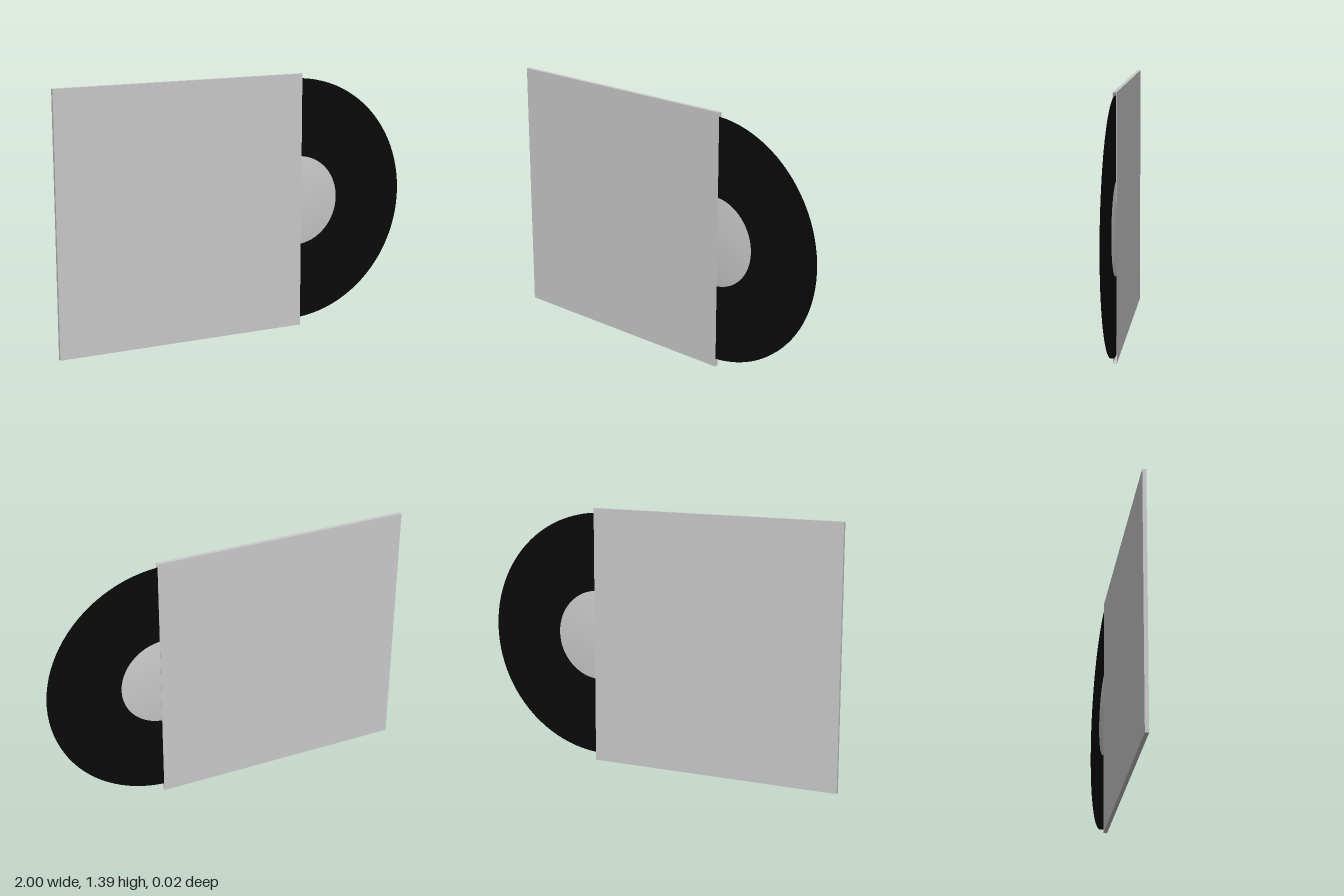
import * as THREE from 'three';
import { mergeVertices } from 'three/addons/utils/BufferGeometryUtils.js';

const SIZE = 1.386;   // sleeve width and height
const DEPTH = 0.02;   // sleeve thickness
const WALL = 0.002;   // card thickness

// Thin upright disc whose rim normals are blended smoothly into its faces
function softDisc(radius, thickness) {
  let geo = new THREE.CylinderGeometry(radius, radius, thickness, 96);
  geo.rotateX(Math.PI / 2);
  geo.deleteAttribute('normal');
  geo.deleteAttribute('uv');
  geo = mergeVertices(geo, 1e-5);
  geo.computeVertexNormals();
  return geo;
}

export function createModel() {
  const model = new THREE.Group();
  model.name = 'recordInSleeve';

  const card = new THREE.MeshStandardMaterial({ color: 0xcccccc });
  card.name = 'light grey card';
  const vinyl = new THREE.MeshStandardMaterial({ color: 0x0a0a0a });
  vinyl.name = 'black vinyl';

  const add = (parent, name, geo, mat, x, y, z) => {
    const mesh = new THREE.Mesh(geo, mat);
    mesh.name = name;
    mesh.position.set(x, y, z);
    parent.add(mesh);
  };

  // Sleeve: two panels, top and bottom edges and a spine, open towards +x
  const sleeve = new THREE.Group();
  sleeve.name = 'sleeve';
  model.add(sleeve);
  const cx = -1 + SIZE / 2, cy = SIZE / 2;
  const panel = new THREE.BoxGeometry(SIZE, SIZE, WALL);
  const inner = DEPTH - 2 * WALL;
  const edge = new THREE.BoxGeometry(SIZE, WALL, inner);
  const spine = new THREE.BoxGeometry(WALL, SIZE - 2 * WALL, inner);
  const zPanel = (DEPTH - WALL) / 2;
  add(sleeve, 'frontPanel', panel, card, cx, cy, zPanel);
  add(sleeve, 'backPanel', panel, card, cx, cy, -zPanel);
  add(sleeve, 'topEdge', edge, card, cx, SIZE - WALL / 2, 0);
  add(sleeve, 'bottomEdge', edge, card, cx, WALL / 2, 0);
  add(sleeve, 'spine', spine, card, -1 + WALL / 2, cy, 0);

  // Record half pulled out, with a label showing on both faces
  const record = new THREE.Group();
  record.name = 'record';
  model.add(record);
  add(record, 'disc', softDisc(0.66, 0.012), vinyl, 0.34, 0.702, 0);
  add(record, 'label', softDisc(0.243, 0.015), card, 0.36, 0.7, 0);

  return model;
}
